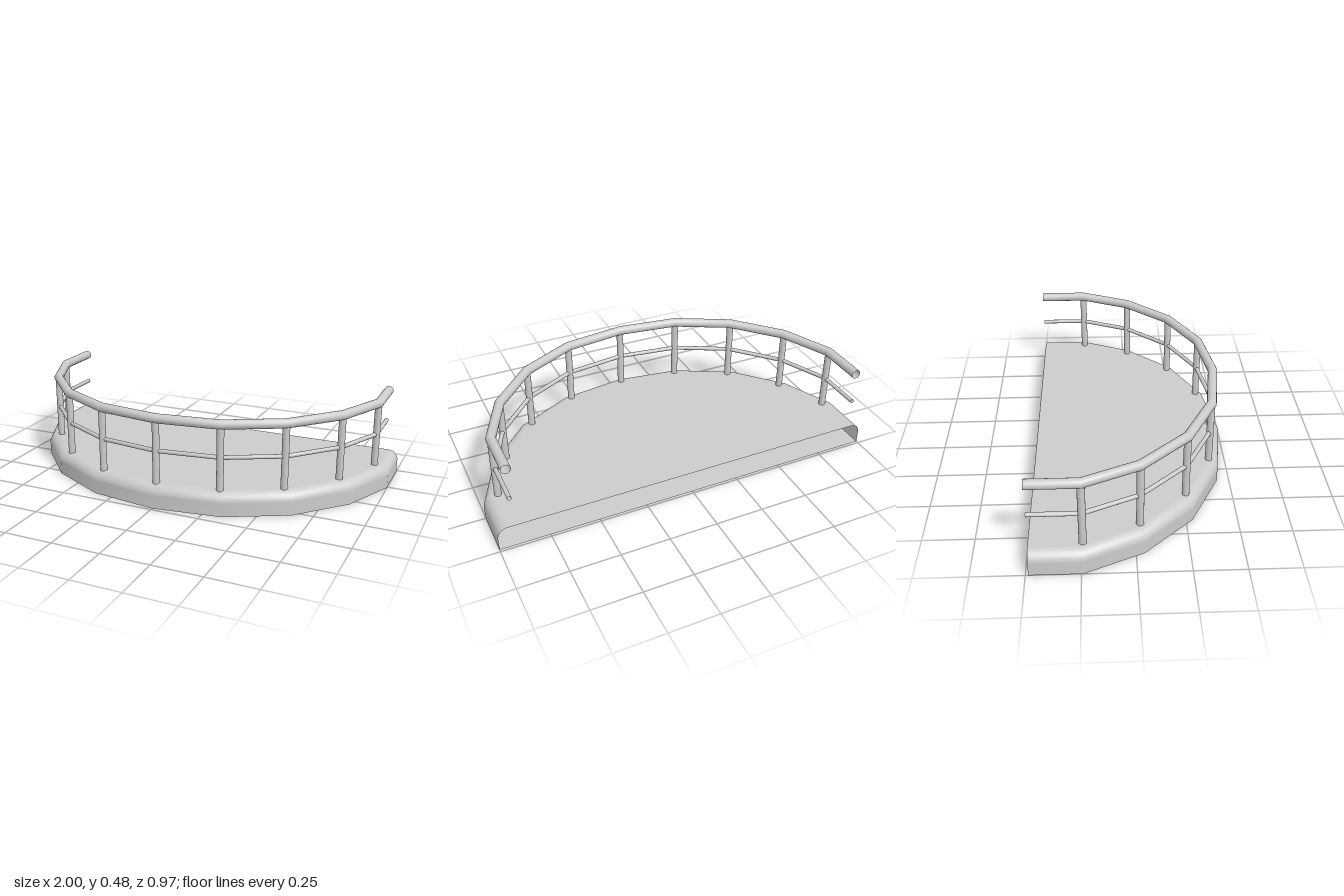
import * as THREE from 'three';

const BACK = -0.487, DECK_Y = 0.12, ROUND = 0.052;

// Half outlines [x, z] from the back to the front centre, mirrored into full paths
const mirrorPath = (half) => [...half, ...half.slice(0, -1).reverse().map(([x, z]) => [-x, z])];
const deckPath = mirrorPath([[1, BACK], [1, -0.24], [0.875, 0.04], [0.65, 0.283], [0.348, 0.438], [0, 0.487]]);
const railPath = mirrorPath([[0.925, BACK], [0.925, -0.242], [0.808, 0.02], [0.597, 0.249], [0.32, 0.392], [0, 0.435]]);

const material = new THREE.MeshStandardMaterial({ color: 0xcccccc, side: THREE.DoubleSide });

// Path shifted outwards by d with mitred corners
function offsetPath(path, d) {
  const normal = (a, b) => new THREE.Vector2(b[1] - a[1], a[0] - b[0]).normalize();
  return path.map((p, i) => {
    const next = path[i + 1], prev = path[i - 1];
    const n1 = prev ? normal(prev, p) : normal(p, next);
    const n2 = next ? normal(p, next) : n1;
    const m = n1.clone().add(n2).normalize();
    const s = d / m.dot(n1);
    return [p[0] + m.x * s, p[1] + m.y * s];
  });
}

// Sweeps a profile of [outward offset, height] points along a path
function sweep(path, profile, closed) {
  const rows = profile.map(([d]) => offsetPath(path, d));
  const n = path.length, count = profile.length;
  const positions = [], index = [];
  rows.forEach((row, j) => row.forEach(([x, z]) => positions.push(x, profile[j][1], z)));
  for (let j = 0; j < (closed ? count : count - 1); j++) {
    const k = (j + 1) % count;
    for (let i = 0; i < n - 1; i++) {
      const a = j * n + i, b = k * n + i;
      index.push(a, b, a + 1, b, b + 1, a + 1);
    }
  }
  const geometry = new THREE.BufferGeometry();
  geometry.setAttribute('position', new THREE.Float32BufferAttribute(positions, 3));
  geometry.setIndex(index);
  geometry.computeVertexNormals();
  return geometry;
}

// Flat horizontal plate filling an outline, facing up (1) or down (-1)
function plate(path, y, facing) {
  const shape = new THREE.Shape(path.map(([x, z]) => new THREE.Vector2(x, -facing * z)));
  return new THREE.ShapeGeometry(shape).rotateX(-facing * Math.PI / 2).translate(0, y, 0);
}

function circle(y, r, sides) {
  return Array.from({ length: sides }, (_, i) => {
    const a = (i / sides) * Math.PI * 2;
    return [r * Math.cos(a), y + r * Math.sin(a)];
  });
}

export function createModel() {
  const model = new THREE.Group();
  model.name = 'balcony';
  const add = (name, geometry, parent = model) => {
    const mesh = new THREE.Mesh(geometry, material);
    mesh.name = name;
    parent.add(mesh);
    return mesh;
  };

  // Hollow deck, open at the back, with a rounded upper edge
  const edge = [[0, 0]];
  for (let i = 0; i <= 8; i++) {
    const a = (i / 8) * Math.PI / 2;
    edge.push([ROUND * (Math.cos(a) - 1), DECK_Y - ROUND + ROUND * Math.sin(a)]);
  }
  add('deckEdge', sweep(deckPath, edge, false));
  add('deckTop', plate(offsetPath(deckPath, -ROUND), DECK_Y, 1));
  add('deckUnderside', plate(deckPath, 0, -1));

  // Handrail and thinner middle rail, open tubes
  add('handrail', sweep(railPath, circle(0.452, 0.024, 16), true));
  add('middleRail', sweep(railPath, circle(0.286, 0.011, 12), true));

  // Posts at every bend of the rails
  const posts = new THREE.Group();
  posts.name = 'posts';
  model.add(posts);
  const postGeometry = new THREE.CylinderGeometry(0.018, 0.018, 0.325, 16, 1, true);
  railPath.slice(1, -1).forEach(([x, z]) => {
    add('post', postGeometry, posts).position.set(x, DECK_Y + 0.1575, z);
  });

  return model;
}
